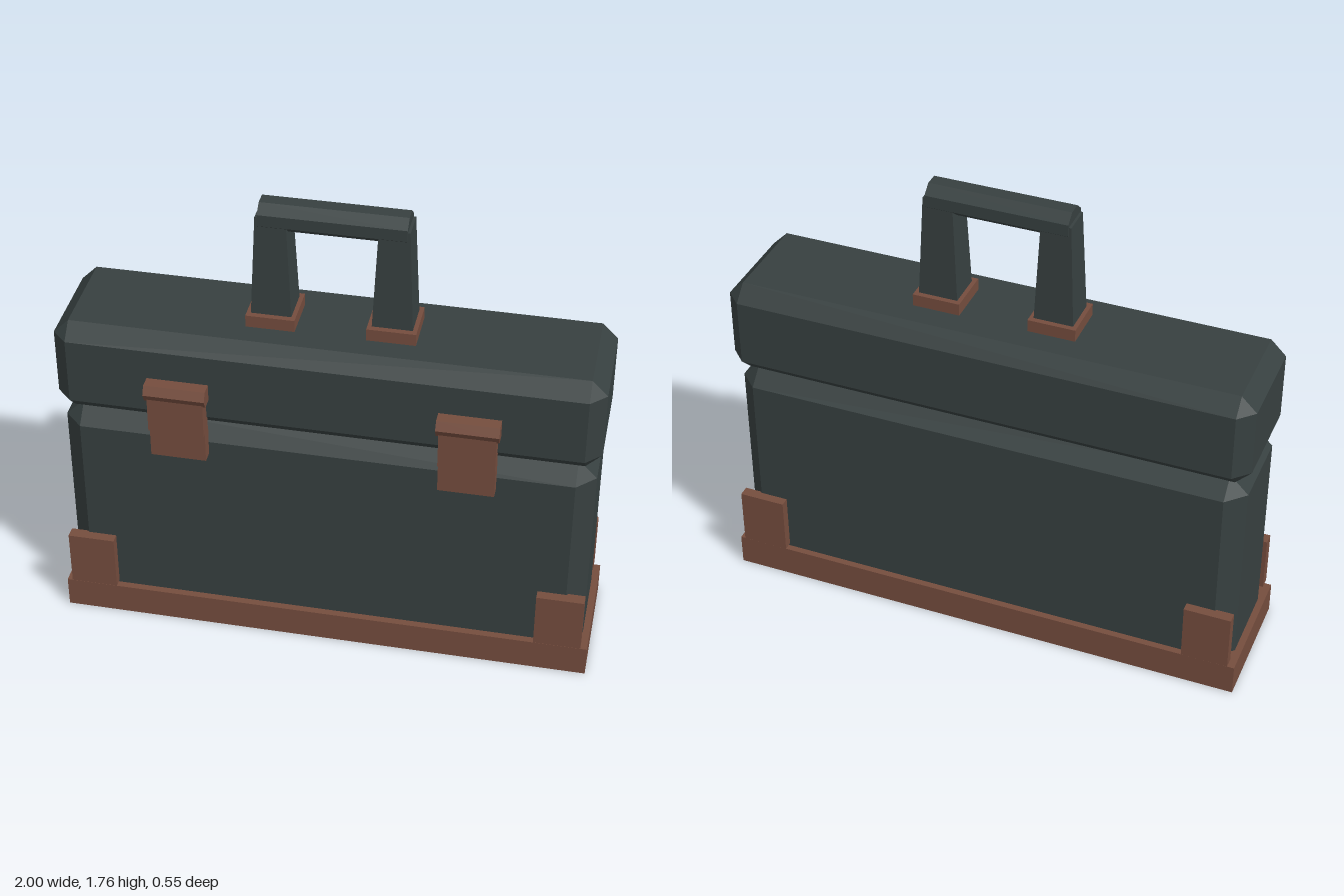
import * as THREE from 'three';
import { ConvexGeometry } from 'three/addons/geometries/ConvexGeometry.js';

const ZC = -0.022; // centre plane of the case

export function createModel() {
  const shell = new THREE.MeshStandardMaterial({ color: 0x374040 });
  shell.name = 'dark shell';
  const leather = new THREE.MeshStandardMaterial({ color: 0x754d3e });
  leather.name = 'brown trim';

  const model = new THREE.Group();
  model.name = 'briefcase';

  function add(name, geometry, material) {
    const mesh = new THREE.Mesh(geometry, material);
    mesh.name = name;
    model.add(mesh);
    return mesh;
  }

  // Box given by its limits on each axis
  function block(name, x0, x1, y0, y1, z0, z1, material) {
    const mesh = add(name, new THREE.BoxGeometry(x1 - x0, y1 - y0, z1 - z0), material);
    mesh.position.set((x0 + x1) / 2, (y0 + y1) / 2, (z0 + z1) / 2);
    return mesh;
  }

  // Box with every edge cut at 45 degrees
  function chamferedBox(w, h, d, c) {
    const points = [];
    for (const sx of [-1, 1]) for (const sy of [-1, 1]) for (const sz of [-1, 1]) {
      const x = w / 2, y = h / 2, z = d / 2;
      points.push(
        new THREE.Vector3(sx * x, sy * (y - c), sz * (z - c)),
        new THREE.Vector3(sx * (x - c), sy * y, sz * (z - c)),
        new THREE.Vector3(sx * (x - c), sy * (y - c), sz * z));
    }
    return new ConvexGeometry(points);
  }

  // Base tray
  block('baseTray', -1, 1, 0, 0.12, -0.266, 0.224, leather);

  // Body, its lower chamfer sunk in the tray
  add('body', chamferedBox(1.95, 0.87, 0.438, 0.069), shell).position.set(0, 0.485, ZC);

  // Lid
  add('lid', chamferedBox(1.976, 0.368, 0.47, 0.057), shell).position.set(0, 1.102, ZC - 0.002);

  // Tapered handle post: a box narrowed towards its top
  function postGeometry() {
    const g = new THREE.BoxGeometry(0.146, 0.39, 0.136).toNonIndexed();
    const p = g.attributes.position;
    for (let i = 0; i < p.count; i++) {
      if (p.getY(i) > 0) p.setXYZ(i, p.getX(i) * 0.75, p.getY(i), p.getZ(i) * 0.83);
    }
    g.computeVertexNormals();
    return g;
  }

  // Latch hook: hexagonal nose swept across the latch
  const hookProfile = [[1.05, 0.2], [1.05, 0.257], [1.083, 0.275], [1.115, 0.257], [1.115, 0.2]];

  for (const s of [-1, 1]) {
    const side = s > 0 ? 'left' : 'right';
    const span = (a, b) => (s > 0 ? [a, b] : [-b, -a]);

    // Corner plates, front and back
    block(side + 'FrontCornerPlate', ...span(0.80, 0.976), 0.13, 0.35, 0.19, 0.234, leather);
    block(side + 'BackCornerPlate', ...span(0.80, 0.976), 0.13, 0.35, -0.276, -0.235, leather);

    // Latch: lower plate, upper plate and hook
    block(side + 'LatchLowerPlate', ...span(0.422, 0.626), 0.80, 0.925, 0.195, 0.243, leather);
    block(side + 'LatchUpperPlate', ...span(0.422, 0.626), 0.92, 1.06, 0.2, 0.261, leather);
    const hook = [];
    for (const x of span(0.412, 0.636)) {
      for (const [y, z] of hookProfile) hook.push(new THREE.Vector3(x, y, z));
    }
    add(side + 'LatchHook', new ConvexGeometry(hook), leather);

    // Handle foot and post
    block(side + 'HandleFoot', ...span(0.128, 0.305), 1.28, 1.332, -0.11, 0.068, leather);
    add(side + 'HandlePost', postGeometry(), shell).position.set(s * 0.2165, 1.525, ZC);
  }

  // Octagonal handle grip with a flat on top
  const grip = new THREE.CylinderGeometry(0.057, 0.057, 0.524, 8).toNonIndexed();
  grip.rotateY(Math.PI / 8).rotateZ(Math.PI / 2).scale(1, 1, 1.17);
  grip.computeVertexNormals();
  add('handleGrip', grip, shell).position.set(0, 1.71, ZC);

  return model;
}
